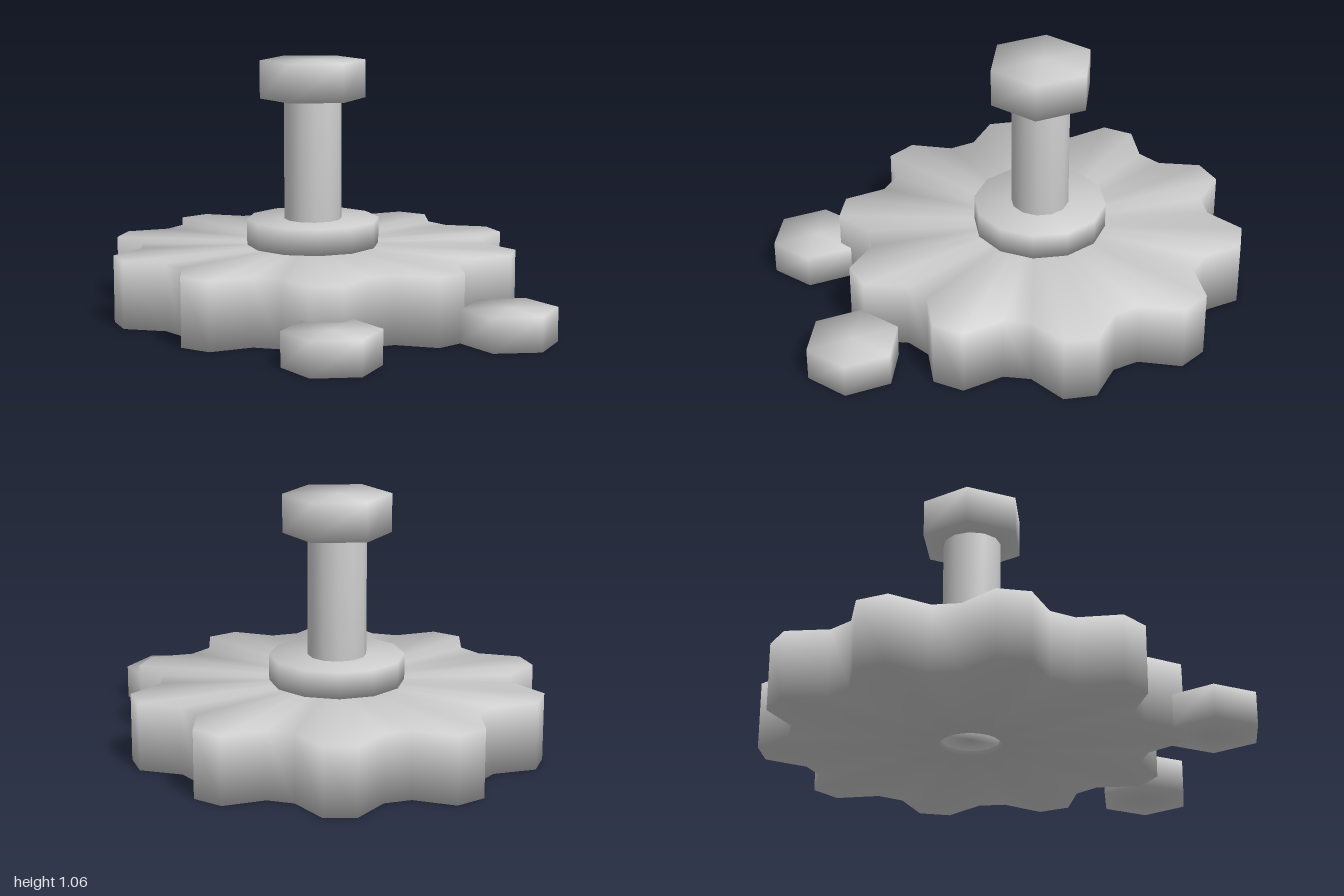
import * as THREE from 'three';
import { mergeVertices } from 'three/addons/utils/BufferGeometryUtils.js';

const AXIS_X = -0.145;

// Weld all corners so the normals run smoothly over every edge.
function smooth(geometry) {
  geometry.deleteAttribute('uv');
  geometry.deleteAttribute('normal');
  const welded = mergeVertices(geometry, 1e-4);
  welded.computeVertexNormals();
  return welded;
}

export function createModel() {
  const group = new THREE.Group();
  const material = new THREE.MeshStandardMaterial({ color: 0xcccccc });

  function add(name, geometry, x, z = 0) {
    const mesh = new THREE.Mesh(smooth(geometry), material);
    mesh.name = name;
    mesh.position.set(x, 0, z);
    group.add(mesh);
  }

  // Upright prism with a corner on the x axis.
  function prism(radius, bottom, top, sides) {
    return new THREE.CylinderGeometry(radius, radius, top - bottom, sides, 1, false, Math.PI / 2)
      .translate(0, (bottom + top) / 2, 0);
  }

  // Gear: a ring with a bore; its rim steps in and out every two points
  const teeth = 10, points = teeth * 4;
  const outer = 0.857, root = 0.725, bore = 0.125, height = 0.28;
  const profile = [[bore, 0], [outer, 0], [outer, height], [bore, height], [bore, 0]]
    .map(([r, y]) => new THREE.Vector2(r, y));
  const gear = new THREE.LatheGeometry(profile, points);
  const pos = gear.attributes.position;
  for (let i = 0; i < pos.count; i++) {
    const x = pos.getX(i), z = pos.getZ(i);
    if (Math.hypot(x, z) < root) continue;
    const step = (Math.round(Math.atan2(z, -x) / (2 * Math.PI) * points) + points) % points;
    if (step % 4 >= 2) {
      pos.setX(i, x * root / outer);
      pos.setZ(i, z * root / outer);
    }
  }
  add('gear', gear, AXIS_X);

  // Washer and bolt on the gear's axis
  add('washer', prism(0.279, 0.28, 0.39, 12), AXIS_X);
  add('boltShank', prism(0.121, 0.02, 0.9, 12), AXIS_X);
  add('boltHead', prism(0.222, 0.9, 1.06, 6), AXIS_X);

  // Loose hexagonal nuts lying beside the gear
  add('nutBack', prism(0.194, 0, 0.14, 6), 0.805, -0.28);
  add('nutFront', prism(0.194, 0, 0.14, 6), 0.69, 0.5);

  return group;
}
